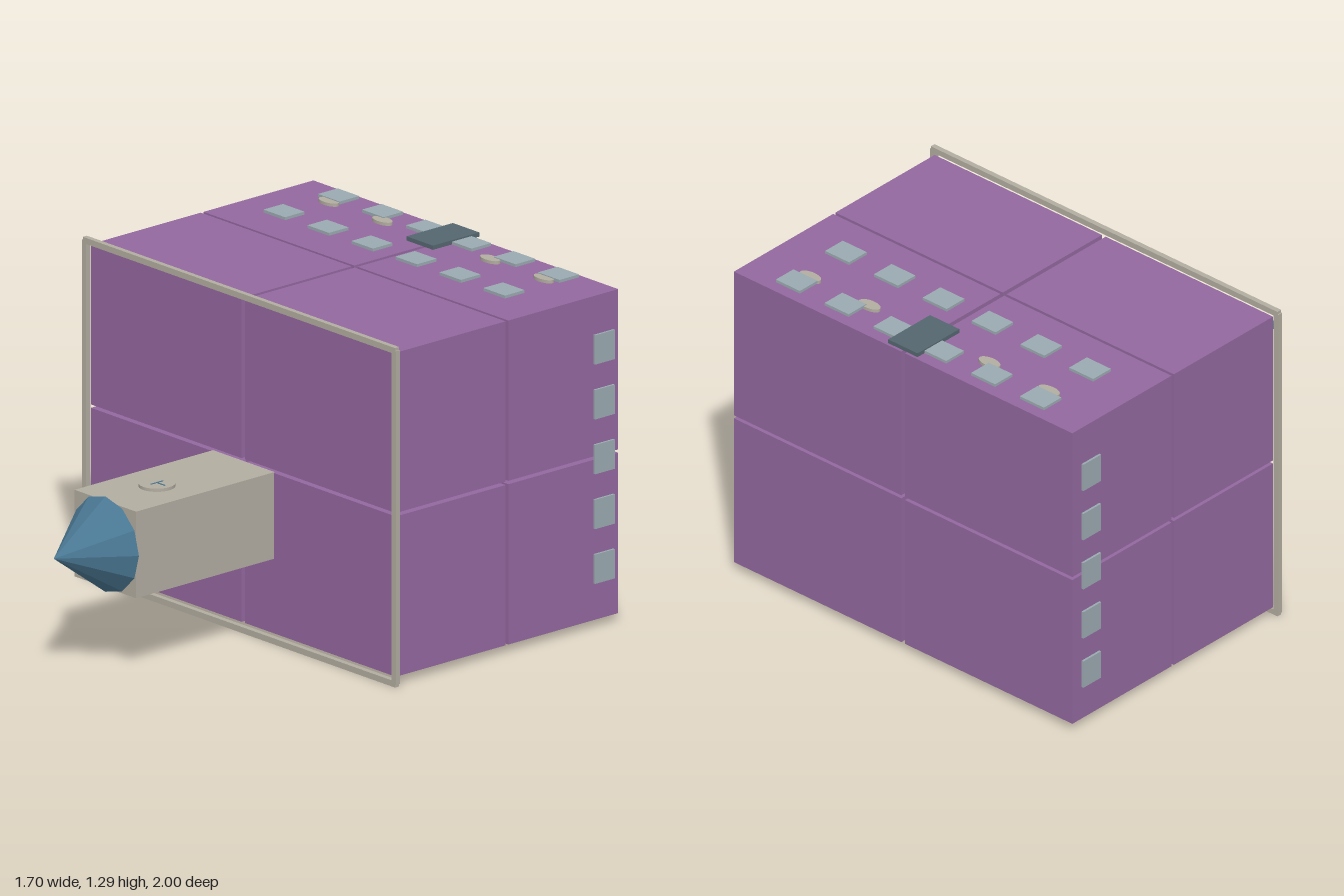
import * as THREE from 'three';

const paint = (color) => new THREE.MeshStandardMaterial({ color });

export function createModel() {
  const model = new THREE.Group();
  const purple = paint(0x93689f), beige = paint(0xb3ada1), glass = paint(0x9aaab0);
  const slate = paint(0x55666f), blue = paint(0x4a7894);
  blue.flatShading = true;

  const add = (name, geometry, material, x, y, z) => {
    const mesh = new THREE.Mesh(geometry, material);
    mesh.name = name;
    mesh.position.set(x, y, z);
    model.add(mesh);
    return mesh;
  };
  const box = (name, material, w, h, d, x, y, z) =>
    add(name, new THREE.BoxGeometry(w, h, d), material, x, y, z);

  // Eight body blocks separated by narrow open seams
  for (const sx of [-1, 1])
    for (const sy of [-1, 1])
      for (const sz of [-1, 1])
        box('bodyBlock', purple, 0.816, 0.611, 0.533, sx * 0.417, 0.65 + sy * 0.312, -0.459 + sz * 0.273);

  // Thin border around the front face
  for (const s of [-1, 1]) {
    box('frameRail', beige, 1.69, 0.023, 0.02, 0, 0.648 + s * 0.6355, 0.092);
    box('framePost', beige, 0.023, 1.272, 0.02, s * 0.838, 0.648, 0.092);
  }

  // Square snout with a pointed tip
  box('snout', beige, 0.333, 0.33, 0.672, 0, 0.482, 0.414);
  const tip = add('snoutTip', new THREE.ConeGeometry(0.182, 0.25, 12), blue, 0, 0.482, 0.875);
  tip.rotation.x = Math.PI / 2;

  // Round dial with two thin strokes
  add('dial', new THREE.CylinderGeometry(0.067, 0.067, 0.012, 32), beige, 0, 0.653, 0.5);
  box('dialStroke', blue, 0.044, 0.003, 0.004, 0.022, 0.66, 0.5);
  box('dialStroke', blue, 0.004, 0.003, 0.06, 0, 0.66, 0.5);

  // Two rows of panes on the roof
  for (let i = 0; i < 6; i++)
    for (const z of [-0.915, -0.65])
      box('roofPane', glass, 0.117, 0.011, 0.095, (i - 2.5) * 0.238, 1.283, z);

  // A column of panes on each side
  for (const s of [-1, 1])
    for (let i = 0; i < 5; i++)
      box('sidePane', glass, 0.009, 0.112, 0.095, s * 0.842, 0.234 + i * 0.209, -0.915);

  // Dark hatch and oval studs at the rear of the roof
  box('hatch', slate, 0.143, 0.016, 0.225, 0, 1.286, -0.8875);
  for (const x of [-0.582, -0.292, 0.292, 0.582]) {
    const stud = add('roofStud', new THREE.CylinderGeometry(1, 1, 0.012, 24), beige, x, 1.279, -0.856);
    stud.scale.set(0.048, 1, 0.025);
  }

  return model;
}
